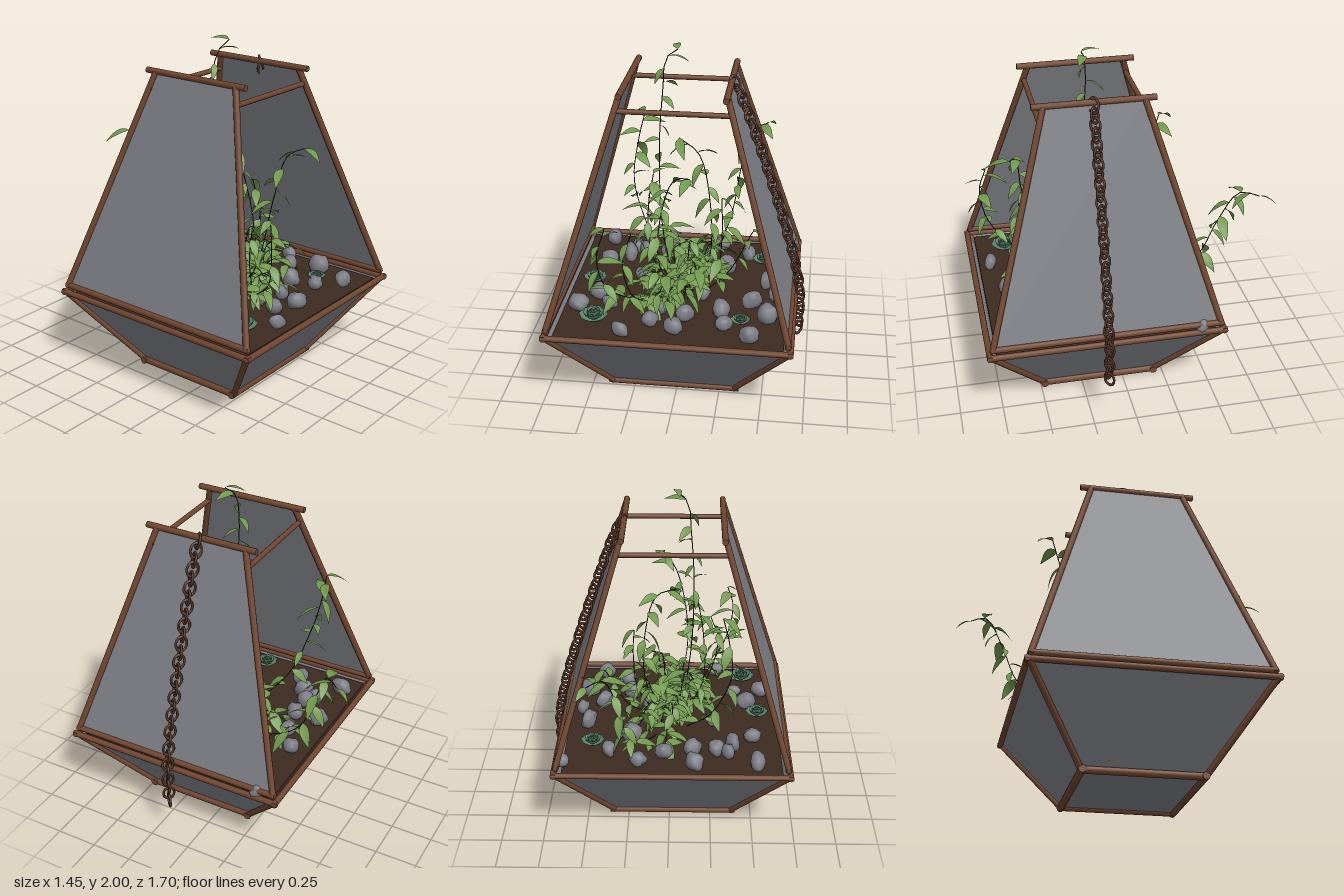
import * as THREE from 'three';
import { mergeGeometries } from 'three/addons/utils/BufferGeometryUtils.js';

const V = (x, y, z) => new THREE.Vector3(x, y, z);
const CX = -0.02, CZ = 0.143; // centre of the frame
const mat = (name, color, side = THREE.FrontSide) => {
  const m = new THREE.MeshStandardMaterial({ color, side });
  m.name = name;
  return m;
};

export function createModel() {
  const model = new THREE.Group();
  model.name = 'terrarium';
  const copper = mat('copper frame', 0x704630);
  const chainMetal = mat('dark chain', 0x4e3022);
  const glass = mat('grey glass', 0x7e8086, THREE.DoubleSide);
  const soilMat = mat('soil', 0x3c2b20);
  const stoneMat = mat('stone', 0x7b7b84);
  const leafMat = mat('leaf green', 0x72994f, THREE.DoubleSide);
  const stemMat = mat('stem', 0x2a2418);
  const succulentMat = mat('succulent green', 0x5f8a70, THREE.DoubleSide);

  let seed = 7;
  const rand = (a = 0, b = 1) => {
    seed = (seed * 16807) % 2147483647;
    return a + (b - a) * (seed / 2147483647);
  };
  const add = (name, geometry, material) => {
    const mesh = new THREE.Mesh(geometry, material);
    mesh.name = name;
    model.add(mesh);
    return mesh;
  };

  // Frame: round bars between points
  const bar = (name, a, b, r = 0.018) => {
    const mesh = add(name, new THREE.CylinderGeometry(r, r, a.distanceTo(b), 10), copper);
    mesh.position.copy(a).lerp(b, 0.5);
    mesh.quaternion.setFromUnitVectors(V(0, 1, 0), b.clone().sub(a).normalize());
  };
  const P = (sx, h, y, sz, hz = h) => V(CX + sx * h, y, CZ + sz * hz);
  for (const s of [-1, 1]) {
    bar('baseBarAcross', P(-1, 0.385, 0.028, s, 0.335), P(1, 0.385, 0.028, s, 0.335), 0.022);
    bar('baseBarDeep', P(s, 0.36, 0.028, -1, 0.345), P(s, 0.36, 0.028, 1, 0.345), 0.022);
    bar('rimBarAcross', P(-1, 0.7, 0.498, s, 0.675), P(1, 0.7, 0.498, s, 0.675));
    bar('rimBarDeep', P(s, 0.685, 0.498, -1, 0.69), P(s, 0.685, 0.498, 1, 0.69));
    bar('sidePanelBottomBar', P(s, 0.67, 0.54, -1), P(s, 0.67, 0.54, 1), 0.018);
    bar('topBarDeep', P(s, 0.287, 1.812, -1, 0.345), P(s, 0.287, 1.812, 1, 0.345));
    bar('topBarAcross', P(-1, 0.325, 1.717, s, 0.302), P(1, 0.325, 1.717, s, 0.302), 0.015);
    for (const t of [-1, 1]) {
      bar('lowerPost', P(s, 0.36, 0.03, t, 0.34), P(s, 0.685, 0.5, t, 0.67), 0.018);
      bar('upperPost', P(s, 0.675, 0.53, t, 0.66), P(s, 0.29, 1.81, t, 0.28), 0.018);
    }
  }

  // Panels: lower bowl, floor and the two tall sides
  const quad = (name, ...corners) => {
    const g = new THREE.BufferGeometry().setFromPoints(corners);
    g.setIndex([0, 1, 2, 0, 2, 3]);
    g.computeVertexNormals();
    add(name, g, glass);
  };
  for (const s of [-1, 1]) {
    quad('lowerPanel', P(-s, 0.35, 0.03, s, 0.335), P(s, 0.35, 0.03, s, 0.335),
      P(s, 0.68, 0.5, s, 0.67), P(-s, 0.68, 0.5, s, 0.67));
    quad('lowerSidePanel', P(s, 0.35, 0.03, s, 0.335), P(s, 0.35, 0.03, -s, 0.335),
      P(s, 0.68, 0.5, -s, 0.67), P(s, 0.68, 0.5, s, 0.67));
    quad('tallSidePanel', P(s, 0.67, 0.54, s, 0.655), P(s, 0.67, 0.54, -s, 0.655),
      P(s, 0.29, 1.81, -s, 0.28), P(s, 0.29, 1.81, s, 0.28));
  }
  quad('floorPanel', P(-1, 0.35, 0.025, -1, 0.335), P(1, 0.35, 0.025, -1, 0.335),
    P(1, 0.35, 0.025, 1, 0.335), P(-1, 0.35, 0.025, 1, 0.335));

  // Soil bed
  add('soil', new THREE.BoxGeometry(1.29, 0.03, 1.27), soilMat).position.set(CX, 0.475, CZ);

  // Stones
  const stones = [[-.52, -.4], [-.15, -.41], [-.35, -.3], [-.28, -.26], [-.14, -.26], [.03, -.3], [.18, -.39],
    [.63, -.41], [-.27, .05], [.13, .26], [-.14, .58], [0, .64], [.28, .58], [.43, .68], [-.29, .71], [-.1, .45],
    [.23, -.1], [-.4, .42], [-.5, -.12], [.42, .3], [.5, .05], [.36, -.28], [.25, .42], [-.38, -.2], [.52, .45],
    [-.48, .3], [.05, .5], [.55, .2], [-.58, .45]];
  const stoneParts = stones.map(([x, z]) => {
    const g = new THREE.SphereGeometry(1, 12, 8);
    const p = g.attributes.position, k = rand(1, 3);
    for (let i = 0; i < p.count; i++) {
      const f = 1 + 0.12 * Math.sin(k * p.getX(i) * 2 + 3 * p.getY(i)) * Math.cos(2 * p.getZ(i) + k);
      p.setXYZ(i, p.getX(i) * f, p.getY(i) * f, p.getZ(i) * f);
    }
    const r = rand(0.045, 0.068);
    g.scale(r * rand(0.6, 0.95), r * rand(0.75, 1), r).rotateX(rand(-0.3, 0.3)).rotateY(rand(0, 6)).translate(x, 0.525, z);
    g.computeVertexNormals();
    return g;
  });
  add('stones', mergeGeometries(stoneParts), stoneMat);

  // Leaf blade from the origin along +z, folded and drooping
  const blade = (width, droop, fold, peak = 0.8) => {
    const g = new THREE.PlaneGeometry(1, 1, 2, 6);
    const p = g.attributes.position;
    for (let i = 0; i < p.count; i++) {
      const u = p.getX(i), t = p.getY(i) + 0.5;
      const w = width * Math.sin(Math.PI * Math.pow(t, peak));
      p.setXYZ(i, u * w, Math.abs(u) * w * fold - droop * t * t, t);
    }
    g.computeVertexNormals();
    return g;
  };
  const place = (base, pos, size, yaw, pitch, roll = 0) => base.clone().applyMatrix4(
    new THREE.Matrix4().compose(pos, new THREE.Quaternion().setFromEuler(
      new THREE.Euler(pitch, yaw, roll, 'YXZ')), V(size, size, size)));

  // Succulent rosettes: cupped rings of broad petals
  const petal = blade(1, -0.45, 0.3, 1.5);
  const petals = [];
  for (const [x, z, r] of [[-.46, .6, .09], [.37, .53, .06], [.46, -.2, .075], [-.54, .15, .075]]) {
    for (let ring = 0; ring < 5; ring++) {
      for (let i = 0; i < 8; i++) {
        petals.push(place(petal, V(x, 0.5 + ring * r * 0.07, z), r * (1 - ring * 0.12),
          (i + ring * 0.5) * Math.PI / 4, -0.1 - ring * 0.27));
      }
    }
  }
  add('succulents', mergeGeometries(petals), succulentMat);

  // Vines: thin stems with alternating leaves
  const leaf = blade(0.43, 0.5, 0.2);
  const leaves = [], stems = [];
  const vine = (points, count, size = 0.13, from = 0.15) => {
    const curve = new THREE.CatmullRomCurve3(points.map(p => V(...p)));
    stems.push(new THREE.TubeGeometry(curve, 20, 0.003, 5));
    const turn = rand(0, 6);
    for (let i = 0; i < count; i++) {
      const t = from + (1 - from) * i / (count - 1);
      leaves.push(place(leaf, curve.getPointAt(t), size * rand(0.75, 1.15),
        turn + i * 2.4 + rand(-0.4, 0.4), rand(-0.5, 0.6), rand(-0.4, 0.4)));
    }
  };
  vine([[-.05, .48, .15], [-.12, .9, .18], [-.14, 1.4, .15], [-.12, 1.75, .12], [-.1, 1.92, .13], [-.03, 1.985, .16]], 17, .11);
  vine([[.08, .48, -.05], [.18, .58, -.3], [.24, .75, -.48], [.28, 1, -.58], [.35, 1.21, -.68], [.43, 1.22, -.77]], 19);
  vine([[-.12, .48, .3], [-.22, .6, .5], [-.36, .78, .7], [-.4, .98, .74], [-.36, 1.14, .7]], 17);
  vine([[-.1, .48, .05], [-.25, .7, -.15], [-.36, 1, -.25], [-.34, 1.25, -.32], [-.3, 1.43, -.36]], 15);
  vine([[.02, .48, .25], [-.1, .8, .45], [-.08, 1.15, .52], [0, 1.38, .55], [.09, 1.41, .6]], 16);
  vine([[.05, .48, .1], [.16, .75, .2], [.15, 1.1, .15], [.08, 1.35, .1], [-.04, 1.42, .05]], 14);
  vine([[.08, .48, .2], [.2, .65, .2], [.23, .9, .2], [.22, 1.1, .15]], 10);
  vine([[-.08, .48, .2], [-.2, .75, .15], [-.2, 1.05, .2], [-.16, 1.28, .25]], 13);
  vine([[.1, .48, .2], [.26, .6, .12], [.36, .78, .1], [.4, .86, .08]], 8);
  vine([[-.1, .48, .3], [-.25, .62, .5], [-.3, .85, .52], [-.25, 1.02, .5]], 10);
  // Bushy centre, longer front to back
  for (let i = 0; i < 20; i++) {
    const a = i * 2.4, r = rand(0.14, 0.36), h = rand(0.6, 0.92);
    const x = Math.cos(a) * r * 0.7, z = Math.sin(a) * r * 1.35;
    vine([[x * 0.3, .48, 0.18 + z * 0.3], [x * 0.7, h - 0.03, 0.18 + z * 0.7], [x, h - 0.06, 0.18 + z]], 8, .14, .4);
  }
  add('leaves', mergeGeometries(leaves), leafMat);
  add('stems', mergeGeometries(stems), stemMat);

  // Chain: wide oval links, alternately turned, hanging over the side
  const path = new THREE.CatmullRomCurve3([[.285, 1.8, .15], [.33, 1.71, .15], [.43, 1.44, .15], [.55, 1.08, .15],
    [.66, .7, .15], [.695, .5, .15], [.692, .27, .15]].map(p => V(...p)));
  const link = new THREE.TorusGeometry(0.032, 0.0075, 6, 14).scale(1, 1.3, 1);
  const links = [];
  const count = 31;
  for (let i = 0; i < count; i++) {
    const t = i / (count - 1);
    const q = new THREE.Quaternion().setFromUnitVectors(V(0, 1, 0), path.getTangentAt(t));
    q.multiply(new THREE.Quaternion().setFromAxisAngle(V(0, 1, 0), (i % 2 ? 1 : -1) * Math.PI / 4));
    links.push(link.clone().applyMatrix4(new THREE.Matrix4().compose(path.getPointAt(t), q, V(1, 1, 1))));
  }
  add('chain', mergeGeometries(links), chainMetal);

  return model;
}
